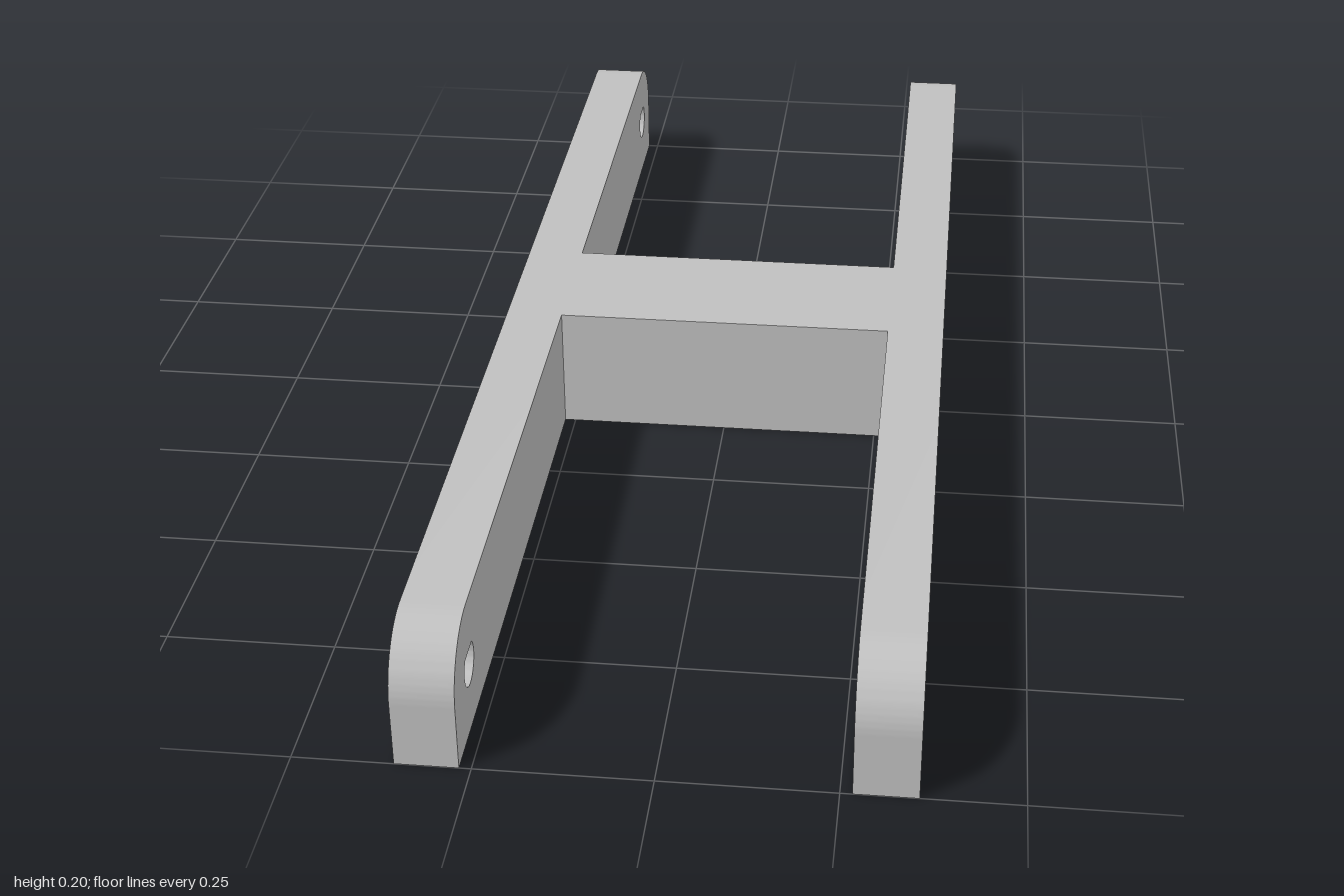
import * as THREE from 'three';
import { toCreasedNormals } from 'three/addons/utils/BufferGeometryUtils.js';

const HEIGHT = 0.2, HALF_LENGTH = 1, CORNER = 0.1;
const RAIL_WIDTH = 0.09, RAIL_X = 0.312;
const HOLE_Z = 0.9, HOLE_Y = 0.1, HOLE_R = 0.032;

// Teardrop bolt hole: round below, 45 degree roof ending in a point
function teardrop(cx, cy, r) {
  const hole = new THREE.Path();
  hole.moveTo(cx, cy + r * Math.SQRT2);
  hole.absarc(cx, cy, r, Math.PI * 0.75, Math.PI * 2.25, false);
  hole.closePath();
  return hole;
}

// Side profile of a rail: square feet, rounded upper ends, a hole at each end
function railGeometry() {
  const s = new THREE.Shape();
  s.moveTo(-HALF_LENGTH, 0);
  s.lineTo(HALF_LENGTH, 0);
  s.absarc(HALF_LENGTH - CORNER, HEIGHT - CORNER, CORNER, 0, Math.PI / 2, false);
  s.absarc(-HALF_LENGTH + CORNER, HEIGHT - CORNER, CORNER, Math.PI / 2, Math.PI, false);
  s.closePath();
  for (const side of [-1, 1]) s.holes.push(teardrop(side * HOLE_Z, HOLE_Y, HOLE_R));
  const geo = new THREE.ExtrudeGeometry(s, { depth: RAIL_WIDTH, bevelEnabled: false, curveSegments: 16 });
  geo.translate(0, 0, -RAIL_WIDTH / 2);
  geo.rotateY(-Math.PI / 2);
  return toCreasedNormals(geo, Math.PI / 6);
}

export function createModel() {
  const group = new THREE.Group();
  group.name = 'bracket';
  const grey = new THREE.MeshStandardMaterial({ color: 0xc0c0c0 });
  grey.name = 'light grey';

  // Two parallel rails
  const rail = railGeometry();
  for (const [name, side] of [['leftRail', 1], ['rightRail', -1]]) {
    const mesh = new THREE.Mesh(rail, grey);
    mesh.name = name;
    mesh.position.x = side * RAIL_X;
    group.add(mesh);
  }

  // Crossbar joining the rails, slightly behind the middle
  const zBack = -0.133, zFront = 0.089;
  const barWidth = 2 * RAIL_X - RAIL_WIDTH;
  const bar = new THREE.Mesh(new THREE.BoxGeometry(barWidth, HEIGHT, zFront - zBack), grey);
  bar.name = 'crossbar';
  bar.position.set(0, HEIGHT / 2, (zFront + zBack) / 2);
  group.add(bar);

  return group;
}
